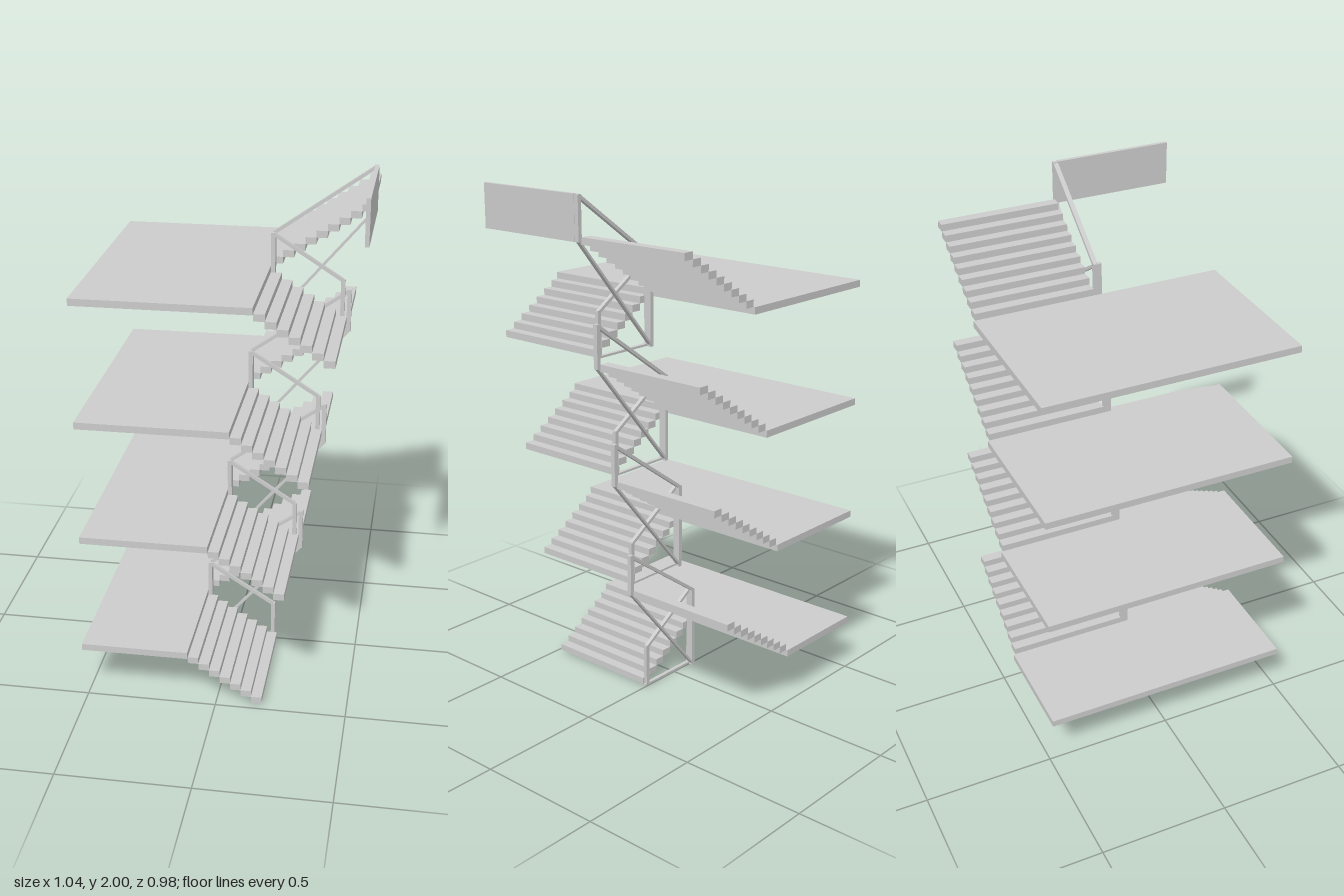
import * as THREE from 'three';

const LEVELS = 4, RISE_Y = 0.4666, SHIFT_X = 0.0813;
const X0 = -0.109;          // stair edge of the lowest landing
const RUN = 0.0407, SLAB = 0.0265;
const material = new THREE.MeshStandardMaterial({ color: 0xcccccc });

// Box given by its min and max corners
function block(parent, name, x1, x2, y1, y2, z1, z2) {
  const mesh = new THREE.Mesh(new THREE.BoxGeometry(x2 - x1, y2 - y1, z2 - z1), material);
  mesh.position.set((x1 + x2) / 2, (y1 + y2) / 2, (z1 + z2) / 2);
  mesh.name = name;
  parent.add(mesh);
  return mesh;
}

// Straight bar between two points in the xy plane
function bar(parent, name, [ax, ay], [bx, by], thick, z1, z2) {
  const len = Math.hypot(bx - ax, by - ay);
  const mesh = block(parent, name, -len / 2, len / 2, -thick / 2, thick / 2, z1, z2);
  mesh.position.x = (ax + bx) / 2;
  mesh.position.y = (ay + by) / 2;
  mesh.rotation.z = Math.atan2(by - ay, bx - ax);
}

function createStorey(index) {
  const storey = new THREE.Group();
  storey.name = 'storey' + (index + 1);
  const dx = index * SHIFT_X;
  storey.position.set(dx, index * RISE_Y, 0);

  // Landing: its outer edge stays in line while the stairs shift
  const left = index === 0 ? -0.52 : -0.51 - dx;
  block(storey, 'landing', left, X0, 0.189, 0.2155, -0.49, 0.489);

  // Front flight climbs towards the landing
  const lower = new THREE.Group();
  lower.name = 'lowerFlight';
  for (let i = 0; i < 7; i++) {
    const x = X0 + (6 - i) * RUN, y = 0.0085 + i * 0.0259;
    block(lower, 'lowerTread', x, x + RUN, y, y + SLAB, 0.0125, 0.478);
  }

  // Back flight climbs away from the landing
  const upper = new THREE.Group();
  upper.name = 'upperFlight';
  for (let i = 0; i < 9; i++) {
    const x = X0 + i * RUN, y = 0.189 + (i + 1) * 0.0263;
    block(upper, 'upperTread', x, x + RUN, y, y + SLAB, -0.483, -0.017);
  }

  // Railing of the front flight
  const lowerRail = new THREE.Group();
  lowerRail.name = 'lowerRailing';
  const f = [0, 0.015];
  block(lowerRail, 'landingPost', -0.109, -0.093, 0, 0.34, -0.016, f[1]);
  block(lowerRail, 'footPost', 0.151, 0.167, 0.004, 0.174, ...f);
  bar(lowerRail, 'handrail', [-0.101, 0.336], [0.159, 0.17], 0.012, ...f);
  bar(lowerRail, 'bottomRail', [-0.101, 0.006], [0.172, 0.006], 0.008, ...f);

  // Railing of the back flight
  const upperRail = new THREE.Group();
  upperRail.name = 'upperRailing';
  const b = [-0.017, 0.001];
  block(upperRail, 'headPost', 0.256, 0.272, 0.435, 0.599, ...b);
  bar(upperRail, 'handrail', [-0.101, 0.336], [0.264, 0.594], 0.012, ...b);
  bar(upperRail, 'bottomRail', [-0.1, 0.006], [0.264, 0.437], 0.008, ...b);

  storey.add(lower, upper, lowerRail, upperRail);
  return storey;
}

export function createModel() {
  const model = new THREE.Group();
  model.name = 'staircase';
  for (let i = 0; i < LEVELS; i++) model.add(createStorey(i));

  // Guard panel closing the top of the stairwell
  block(model, 'guardPanel', 0.502, 0.517, 1.835, 2, 0.001, 0.458);
  return model;
}
